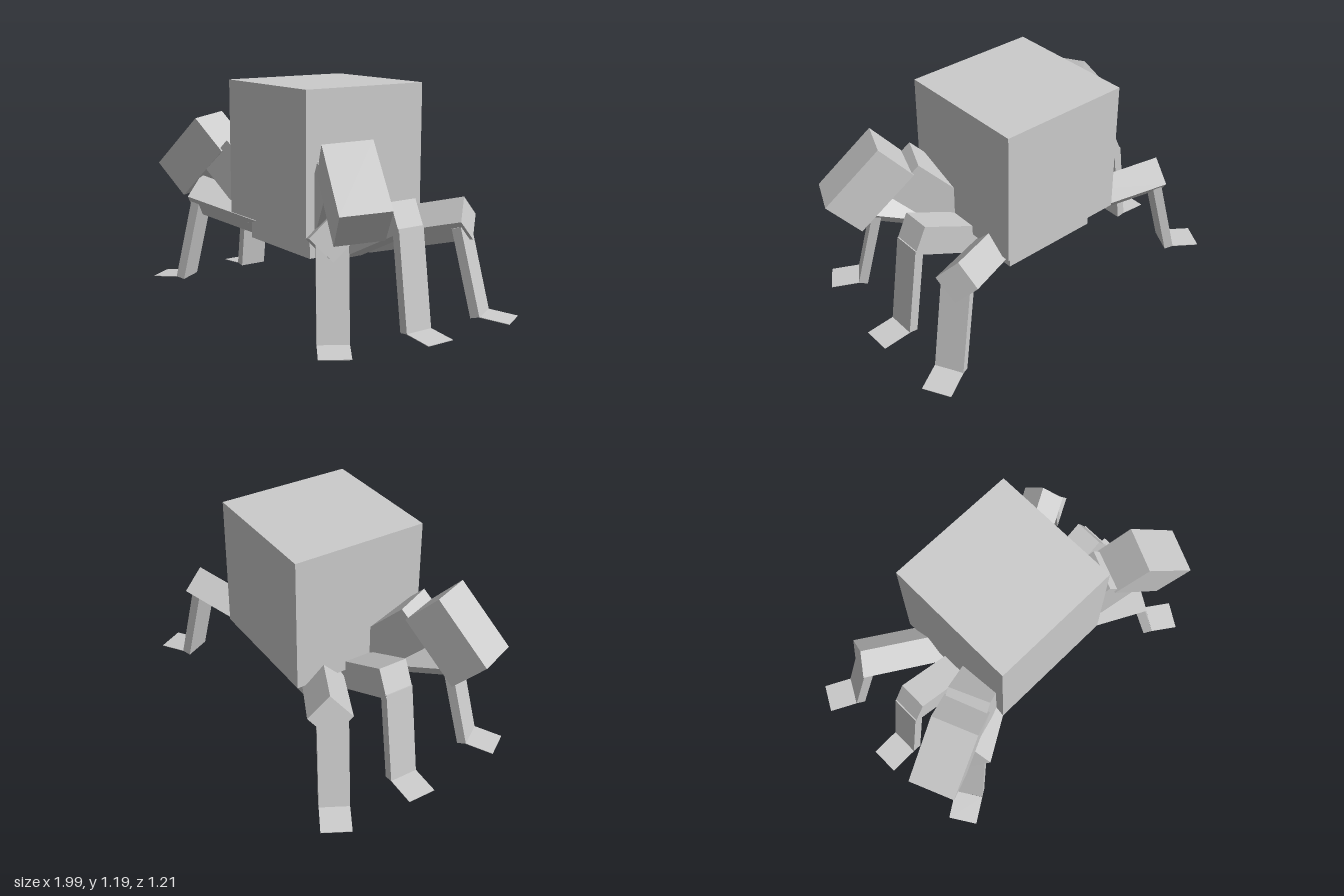
import * as THREE from 'three';

const material = new THREE.MeshStandardMaterial({ color: 0xcccccc, flatShading: true });

function block(name, size, position) {
  const mesh = new THREE.Mesh(new THREE.BoxGeometry(...size), material);
  mesh.name = name;
  mesh.position.set(...position);
  return mesh;
}

// A box running between two points, mirrored to the other side when side = -1.
// width lies level across the beam; lift shifts it along its own up direction.
function beam(name, side, from, to, width, height, { roll = 0, lift = 0 } = {}) {
  const a = new THREE.Vector3(from[0] * side, from[1], from[2]);
  const b = new THREE.Vector3(to[0] * side, to[1], to[2]);
  const axis = b.clone().sub(a);
  const length = axis.length();
  axis.normalize();
  const across = new THREE.Vector3().crossVectors(axis, new THREE.Vector3(0, 1, 0)).normalize();
  const up = new THREE.Vector3().crossVectors(across, axis);

  const geometry = new THREE.BoxGeometry(width, height, length);
  geometry.rotateZ(roll * side).translate(0, lift, 0);
  const mesh = new THREE.Mesh(geometry, material);
  mesh.name = name;
  mesh.quaternion.setFromRotationMatrix(
    new THREE.Matrix4().makeBasis(across, up, axis.clone().negate()));
  mesh.position.copy(a).add(b).multiplyScalar(0.5);
  return mesh;
}

// Joint positions on the +x side
const legs = [
  { name: 'front', hip: [0.17, 0.378, 0.087], end: [0.667, 0.52, 0.396], roll: Math.PI / 4,
    knee: [0.665, 0.49, 0.397], ankle: [0.757, 0.03, 0.4575], toe: [0.885, 0.015, 0.54] },
  { name: 'middle', hip: [0.2, 0.339, -0.028], end: [0.705, 0.5825, -0.028], roll: 0,
    knee: [0.737, 0.53, -0.028], ankle: [0.81, 0.016, -0.028], toe: [0.97, 0.002, -0.028] },
  { name: 'back', hip: [0.205, 0.38, -0.157], end: [0.7225, 0.5225, -0.425], roll: Math.PI / 4,
    knee: [0.72, 0.49, -0.41], ankle: [0.82, 0.03, -0.4625], toe: [0.957, 0.015, -0.5375] },
];

export function createModel() {
  const model = new THREE.Group();
  model.name = 'crab';

  // Body and belly
  model.add(block('body', [0.74, 0.74, 0.745], [0, 0.825, -0.0275]));
  model.add(block('belly', [0.57, 0.14, 0.575], [0, 0.385, -0.0225]));

  for (const side of [1, -1]) {
    const label = side > 0 ? 'left' : 'right';

    // Walking legs: thick thigh, thin shin, flat foot
    for (const { name, hip, end, roll, knee, ankle, toe } of legs) {
      const leg = new THREE.Group();
      leg.name = `${label} ${name} leg`;
      leg.add(beam('thigh', side, hip, end, 0.16, 0.16, { roll }));
      leg.add(beam('shin', side, knee, ankle, 0.158, 0.05, { lift: -0.025 }));
      leg.add(beam('foot', side, ankle, toe, 0.158, 0.003));
      model.add(leg);
    }

    // Claw arm with a large block claw
    const arm = new THREE.Group();
    arm.name = `${label} claw arm`;
    arm.add(beam('arm', side, [0.288, 0.474, 0.132], [0.561, 0.768, 0.254], 0.23, 0.23));
    arm.add(beam('claw', side, [0.59, 0.883, 0.2725], [0.868, 0.6, 0.3725], 0.25, 0.247,
      { roll: -0.094 }));
    model.add(arm);
  }
  return model;
}
